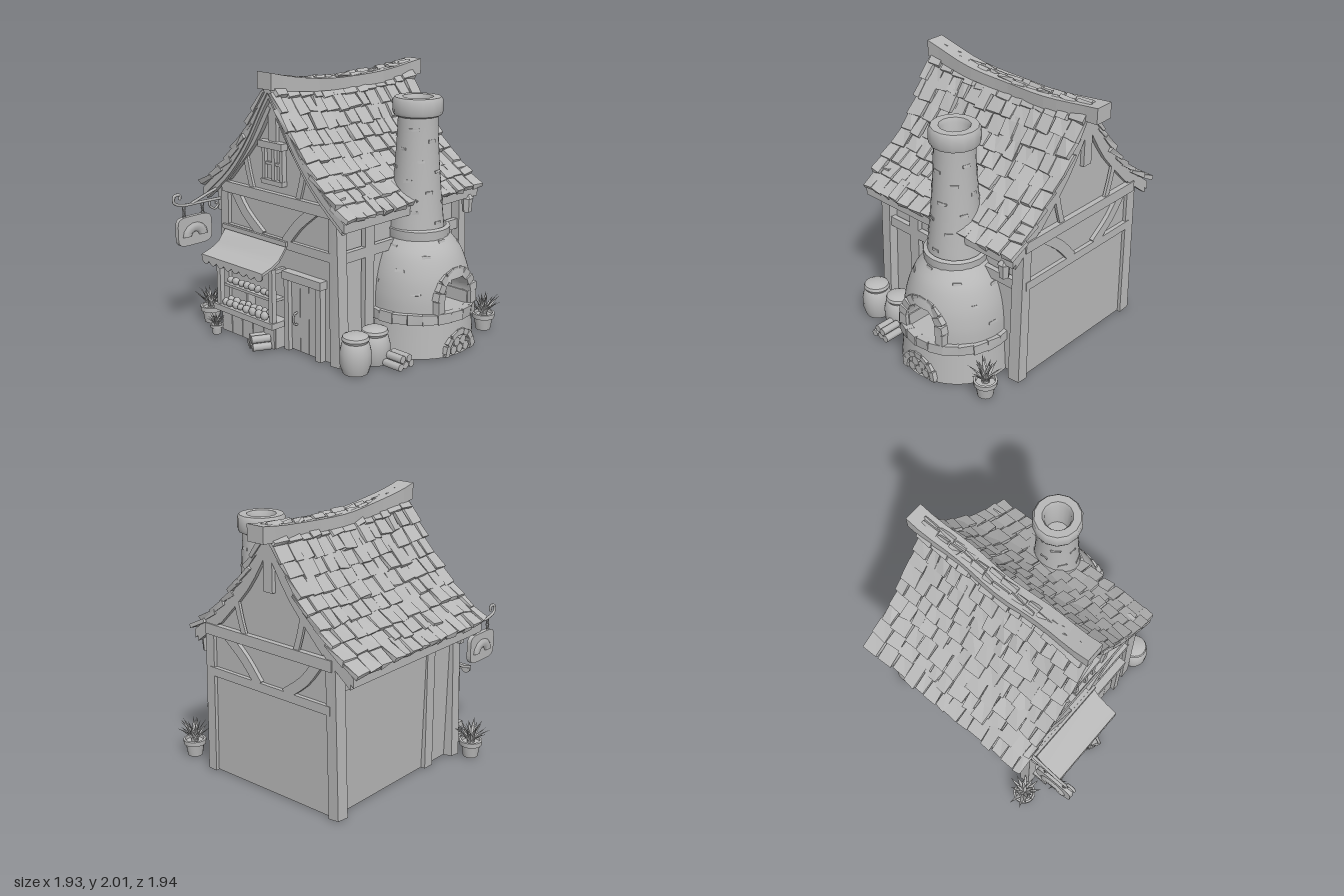
import * as THREE from 'three';
import { mergeGeometries, toCreasedNormals } from 'three/addons/utils/BufferGeometryUtils.js';

const RIDGE_X = -0.115;
const V2 = (x, y) => new THREE.Vector2(x, y);
const V3 = (x, y, z) => new THREE.Vector3(x, y, z);

export function createModel() {
  const model = new THREE.Group();
  const clay = new THREE.MeshStandardMaterial({ color: 0xb8b8b8, side: THREE.DoubleSide });
  clay.name = 'plain grey';
  let seed = 7;
  const rnd = (a, b) => {
    seed = (seed * 16807) % 2147483647;
    return a + (b - a) * (seed / 2147483647);
  };

  // Helpers
  const add = (name, geo, x = 0, y = 0, z = 0, parent = model) => {
    const m = new THREE.Mesh(geo, clay);
    m.name = name;
    m.position.set(x, y, z);
    parent.add(m);
    return m;
  };
  const box = (name, x0, x1, y0, y1, z0, z1, parent = model) =>
    add(name, new THREE.BoxGeometry(x1 - x0, y1 - y0, z1 - z0), (x0 + x1) / 2, (y0 + y1) / 2, (z0 + z1) / 2, parent);
  const move = (geo, rule) => {
    const p = geo.attributes.position, v = V3();
    for (let i = 0; i < p.count; i++) {
      rule(v.fromBufferAttribute(p, i));
      p.setXYZ(i, v.x, v.y, v.z);
    }
    geo.computeVertexNormals();
    return geo;
  };
  const merged = (list) => {
    const g = mergeGeometries(list.map((q) => (q.index ? q.toNonIndexed() : q)));
    g.computeVertexNormals();
    return g;
  };
  const chunk = (w, h, d, j) => { // rough block: each corner nudged the same for all its faces
    const n = Array.from({ length: 8 }, () => [rnd(-j, j), rnd(-j, j), rnd(-j, j)]);
    return move(new THREE.BoxGeometry(w, h, d), (v) => {
      const k = n[(v.x > 0 ? 1 : 0) + (v.y > 0 ? 2 : 0) + (v.z > 0 ? 4 : 0)];
      v.x += k[0]; v.y += k[1]; v.z += k[2];
    });
  };
  const lathe = (pts, seg = 32) =>
    toCreasedNormals(new THREE.LatheGeometry(pts.map((p) => V2(p[0], p[1])), seg), 0.7);
  const extrude = (pts, depth, steps = 1) =>
    new THREE.ExtrudeGeometry(new THREE.Shape(pts), { depth, steps, bevelEnabled: false });
  const plank = (name, pts, w, z, depth = 0.03) => { // bent timber in the xy plane
    const c = new THREE.SplineCurve(pts.map((p) => V2(p[0], p[1])));
    const a = [], b = [];
    for (let i = 0; i <= 6; i++) {
      const p = c.getPoint(i / 6), t = c.getTangent(i / 6);
      a.push(V2(p.x - t.y * w / 2, p.y + t.x * w / 2));
      b.unshift(V2(p.x + t.y * w / 2, p.y - t.x * w / 2));
    }
    return add(name, extrude([...a, ...b], depth), 0, 0, z);
  };
  const tube = (name, pts, r, seg = 24) =>
    add(name, new THREE.TubeGeometry(new THREE.CatmullRomCurve3(pts.map((p) => V3(...p))), seg, r, 6));

  // Roof profile (distance from ridge, height) and the sag of the roof along z
  const profile = new THREE.SplineCurve([V2(0, 1.97), V2(0.08, 1.85), V2(0.25, 1.58), V2(0.46, 1.335), V2(0.745, 1.1)]);
  const sagAt = (z) => 0.06 * Math.max(0, 1 - ((z + 0.2) / 0.8) ** 2);
  const sag = (v) => { v.y -= sagAt(v.z) * THREE.MathUtils.clamp((v.y - 1.08) / 0.8, 0, 1); };
  const gableLine = (off, tMax) => {
    const pts = [];
    for (let i = -12; i <= 12; i++) {
      const p = profile.getPointAt(Math.abs(i) / 12 * tMax);
      pts.push(V2(RIDGE_X + Math.sign(i) * p.x, p.y - off));
    }
    return pts;
  };

  // Walls with gables
  const wall = extrude([V2(-0.65, 0), ...gableLine(0.085, 0.8), V2(0.48, 0)], 1.34, 8);
  wall.translate(0, 0, -0.83);
  add('walls', move(wall, sag));

  // Roof deck, ridge beam and shingles
  const deck = extrude([...gableLine(0.045, 0.99), ...gableLine(0.11, 0.99).reverse()], 1.44, 10);
  deck.translate(0, 0, -0.86);
  add('roofDeck', move(deck, sag));
  const ridge = new THREE.BoxGeometry(0.145, 0.12, 1.57, 1, 1, 14).toNonIndexed();
  ridge.translate(RIDGE_X, 1.94, -0.185);
  add('ridgeBeam', move(ridge, (v) => {
    v.y -= sagAt(v.z) * (v.y > 1.94 ? 1.7 : 1.1) + 0.04 * Math.max(0, -(v.z + 0.2) / 0.8) ** 2;
    v.x += 0.008 * Math.sin(v.z * 9);
  }));
  const tiles = [], ROWS = 9;
  for (const s of [-1, 1]) {
    for (let r = 0; r < ROWS; r++) {
      const t = (r + 0.55) / ROWS, p = profile.getPointAt(t), g = profile.getTangentAt(t);
      for (let z = -0.89 + rnd(0, 0.02); z < 0.55;) {
        const w = Math.min(rnd(0.08, 0.14), 0.6 - z);
        const tile = chunk(rnd(0.155, 0.19), 0.032, w - 0.008, 0.009);
        tile.rotateZ(Math.atan2(g.y, s * g.x) + s * rnd(0.09, 0.2));
        const off = rnd(-0.024, -0.008);
        const at = V3(RIDGE_X + s * (p.x - g.y * off), p.y + g.x * off, z + w / 2);
        sag(at);
        tiles.push(tile.translate(at.x, at.y, at.z));
        z += w;
      }
    }
  }
  add('roofShingles', merged(tiles));

  // Timber frame on front and back
  for (const z of [0.51, -0.86]) {
    box('upperBeam', -0.67, 0.5, 1.06, 1.14, z - 0.01, z + 0.04);
    box('middleBeam', -0.65, 0.48, 0.75, 0.815, z, z + 0.03);
    plank('leftBrace', [[-0.25, 0.8], [-0.42, 0.93], [-0.54, 1.08]], 0.075, z);
    plank('rightBrace', [[0.0, 0.8], [0.13, 0.95], [0.29, 1.08]], 0.075, z);
    box('gablePost', -0.155, -0.075, 1.48, 1.82, z, z + 0.03);
    for (const s of [-1, 1]) {
      const X = (d) => RIDGE_X + s * d;
      plank('bargeBoard', [[X(0.04), 1.76], [X(0.22), 1.48], [X(0.5), 1.18]], 0.07, z, 0.035);
      plank('gableBrace', [[X(0.24), 1.13], [X(0.28), 1.26], [X(0.31), 1.39]], 0.045, z, 0.02);
      add('cornerPost', chunk(0.085, 1.2, 0.09, 0.006), s > 0 ? 0.487 : -0.665, 0.6, z > 0 ? 0.492 : -0.812)
        .rotation.z = s * 0.025;
    }
  }
  for (const z of [0.53, -0.86]) { // rafters under the verge
    const rafter = extrude([...gableLine(0.09, 0.96), ...gableLine(0.15, 0.96).reverse()], 0.04);
    rafter.translate(0, 0, z);
    add('vergeRafter', move(rafter, sag));
  }

  // Timber frame on the sides
  for (const [x0, x1, y] of [[0.47, 0.51, 0.735], [-0.685, -0.64, 0.9]]) {
    box('sideMiddleBeam', x0, x1, y, y + 0.075, -0.8, 0.48);
    box('sideTopBeam', x0, x1, 1.04, 1.12, -0.8, 0.48);
    box('sidePost', x0, x1, 0, 1.08, 0.16, 0.25);
  }

  // Gable window
  box('windowPane', -0.19, -0.02, 1.22, 1.46, 0.5, 0.525);
  box('windowLintel', -0.235, 0.01, 1.46, 1.51, 0.5, 0.57);
  box('windowSill', -0.22, 0, 1.2, 1.235, 0.5, 0.56);
  for (const x of [-0.215, -0.115, -0.035]) box('windowBar', x, x + 0.03, 1.22, 1.46, 0.5, 0.55);
  box('windowCrossBar', -0.19, -0.02, 1.34, 1.36, 0.5, 0.545);

  // Door
  for (let i = 0; i < 3; i++) box('doorBoard', 0.055 + i * 0.089, 0.141 + i * 0.089, 0.01, 0.54, 0.5, 0.53);
  box('doorJamb', 0.005, 0.05, 0, 0.56, 0.5, 0.56);
  box('doorJamb', 0.325, 0.375, 0, 0.56, 0.5, 0.56);
  box('doorLintel', 0.0, 0.39, 0.54, 0.6, 0.5, 0.575);
  tube('doorHandle', [[0.11, 0.3, 0.53], [0.11, 0.29, 0.56], [0.11, 0.22, 0.56], [0.11, 0.21, 0.53]], 0.008, 10);

  // Market stall
  box('stallBase', -0.62, -0.03, 0, 0.165, 0.5, 0.61);
  for (let i = 0; i < 5; i++) box('stallBoard', -0.615 + i * 0.117, -0.505 + i * 0.117, 0, 0.165, 0.6, 0.622);
  box('stallCounter', -0.665, -0.01, 0.165, 0.21, 0.5, 0.665);
  for (const x of [-0.635, -0.06]) {
    box('stallPost', x, x + 0.04, 0.2, 0.61, 0.61, 0.65);
    box('stallSideRail', x, x + 0.03, 0.57, 0.6, 0.51, 0.65);
  }
  box('stallShelf', -0.6, -0.05, 0.35, 0.37, 0.5, 0.61);
  box('stallDivider', -0.39, -0.365, 0.2, 0.35, 0.5, 0.58);
  const loaves = [];
  for (const [y, z] of [[0.235, 0.63], [0.24, 0.575], [0.395, 0.575]]) {
    for (let x = -0.56; x < -0.08; x += rnd(0.05, 0.075)) {
      const g = new THREE.SphereGeometry(0.03, 8, 6);
      g.scale(rnd(0.8, 1.2), rnd(0.8, 1.2), rnd(0.8, 1)).rotateZ(rnd(-0.6, 0.6));
      loaves.push(g.translate(x, y, z));
    }
  }
  add('loaves', mergeGeometries(loaves));
  const cloth = [[0.51, 0.8], [0.54, 0.785], [0.615, 0.69], [0.69, 0.65], [0.775, 0.625]].map((p) => V2(...p));
  const clothUnder = cloth.map((p) => V2(p.x - 0.004, p.y - 0.02)).reverse();
  const awning = extrude([...cloth, ...clothUnder], 0.665);
  awning.rotateY(-Math.PI / 2);
  add('awning', toCreasedNormals(awning, 0.8), 0.02);
  const wave = [V2(0.02, 0.625), V2(-0.645, 0.625)];
  for (let i = 0; i <= 48; i++) wave.push(V2(-0.645 + 0.665 * i / 48, 0.585 - 0.028 * Math.abs(Math.sin(i / 48 * Math.PI * 8))));
  add('awningValance', extrude(wave, 0.012), 0, 0, 0.766);
  box('awningRail', -0.66, 0.03, 0.775, 0.81, 0.5, 0.56);

  // Oven: base, dome with an arched mouth, and chimney
  const oven = new THREE.Group();
  oven.name = 'oven';
  oven.position.set(0.55, 0, -0.275);
  model.add(oven);
  const cutMouth = (g, half, top) => { // leave out faces inside the mouth
    const p = g.attributes.position, keep = [];
    for (let i = 0; i < p.count; i += 3) {
      const c = V3();
      for (let k = 0; k < 3; k++) c.add(V3().fromBufferAttribute(p, i + k).divideScalar(3));
      const arch = top - half + Math.sqrt(Math.max(0, half * half - c.z * c.z));
      if (c.x < 0.2 || c.y > arch || Math.abs(c.z) > half) keep.push(i, i + 1, i + 2);
    }
    g.setIndex(keep);
    return g;
  };
  const domeLine = new THREE.SplineCurve([V2(0.385, 0.32), V2(0.38, 0.44), V2(0.355, 0.58), V2(0.3, 0.72), V2(0.215, 0.83)]);
  const rise = (n, f) => Array.from({ length: n + 1 }, (_, i) => f(i / n));
  const dome = rise(20, (t) => { const p = domeLine.getPoint(t); return [p.x, p.y]; });
  add('ovenDome', cutMouth(lathe(dome, 72), 0.155, 0.56), 0, 0, 0, oven);
  const base = rise(10, (t) => [0.41 - 0.02 * t, 0.26 * t]);
  add('ovenBase', cutMouth(lathe(base, 72), 0.12, 0.135), 0, 0, 0, oven);
  add('ovenFloor', lathe([[0, 0], [0.41, 0]]), 0, 0.002, 0, oven);
  add('ovenHearth', lathe([[0.38, 0.255], [0.405, 0.255], [0.405, 0.325], [0, 0.325]]), 0, 0, 0, oven);
  const mouth = (name, r, floor, spring, x, n, stone) => {
    const vault = new THREE.CylinderGeometry(r, r, 0.2, 20, 1, true, 0, Math.PI);
    add(name + 'Vault', vault.rotateZ(Math.PI / 2), x - 0.1, spring, 0, oven);
    box(name + 'Back', x - 0.2, x - 0.19, floor, spring + r, -r, r, oven);
    for (const s of [-1, 1]) {
      const h = spring - floor;
      box(name + 'Side', x - 0.2, x, floor, spring, s * r - 0.01, s * r + 0.01, oven);
      add(name + 'Footing', chunk(0.09, h, stone, 0.003), x - 0.02, floor + h / 2 + 0.003, s * (r + stone / 2), oven);
    }
    for (let i = 0; i < n; i++) {
      const a = (i + 0.5) / n * Math.PI, R = r + stone / 2;
      const g = chunk(0.09, stone, Math.PI * R / n * 0.97, 0.004);
      g.rotateX(Math.PI / 2 - a);
      add(name + 'Stone', g, x - 0.015 - 0.1 * floor * Math.sin(a), spring + Math.sin(a) * R, Math.cos(a) * R, oven);
    }
  };
  mouth('ovenMouth', 0.145, 0.325, 0.415, 0.345, 9, 0.07);
  mouth('woodStore', 0.115, 0, 0.02, 0.378, 7, 0.045);
  for (let i = 0; i < 24; i++) { // rim stones
    const a = (i + 0.5) / 24 * Math.PI * 2;
    const g = chunk(0.06, 0.075, 0.107, 0.005);
    g.rotateY(-a);
    add('rimStone', g, Math.cos(a) * 0.386, 0.292, Math.sin(a) * 0.386, oven);
  }
  for (let i = 0; i < 5; i++) {
    const log = new THREE.CylinderGeometry(0.034, 0.034, 0.2, 8).rotateZ(Math.PI / 2);
    add('storedLog', log, 0.3, i < 3 ? 0.036 : 0.092, i < 3 ? (i - 1) * 0.068 : (i - 3.5) * 0.068, oven);
  }
  add('chimneyCollar', lathe([[0.2, 0.81], [0.226, 0.815], [0.229, 0.88], [0.2, 0.89]], 20), 0, 0, 0.01, oven);
  const shaftR = (y) => 0.142 + 0.063 * ((1.7 - y) / 0.84) ** 1.5;
  const shaft = lathe(rise(10, (t) => [shaftR(0.86 + 0.84 * t), 0.86 + 0.84 * t]), 24);
  const chimney = add('chimneyShaft', shaft, -0.012, 0, 0.022, oven);
  add('chimneyCap', lathe([[0.14, 1.67], [0.172, 1.685], [0.18, 1.71], [0.178, 1.79], [0.165, 1.81], [0.11, 1.81],
    [0.095, 1.78], [0.085, 1.55], [0, 1.55]], 14), -0.016, 0, 0.022, oven);
  const bricks = [];
  const brick = (r, y, a, tilt) => {
    const g = chunk(0.016, 0.02, rnd(0.045, 0.075), 0.003);
    g.rotateZ(tilt).rotateY(-a);
    bricks.push(g.translate(Math.cos(a) * r, y, Math.sin(a) * r));
  };
  for (let i = 0; i < 26; i++) {
    const y = 0.93 + 0.72 * i / 26;
    brick(shaftR(y) - 0.005, y, i * 2.4, 0.06);
  }
  add('raisedBricks', merged(bricks), 0, 0, 0, chimney);
  bricks.length = 0;
  for (let i = 0; i < 22; i++) {
    const p = domeLine.getPoint(0.2 + 0.75 * i / 22), a = i * 2.4;
    if (Math.cos(a) < 0.8 || p.y > 0.68) brick(p.x - 0.005, p.y, a, 0.3);
  }
  add('raisedDomeBricks', merged(bricks), 0, 0, 0, oven);

  // Flour sacks and logs
  const sack = [[0, 0], [0.09, 0], [0.11, 0.06], [0.112, 0.14], [0.098, 0.195], [0.088, 0.21], [0.098, 0.228],
    [0.09, 0.248], [0.06, 0.262], [0, 0.265]];
  add('sack', lathe(sack, 20), 0.65, 0, 0.495).scale.y = 1.07;
  add('sack', lathe(sack, 20), 0.625, 0, 0.275);
  const logPile = (x, z, turn) => {
    const pile = new THREE.Group();
    pile.name = 'logPile';
    for (let i = 0; i < 5; i++) {
      const log = new THREE.CylinderGeometry(0.028, 0.028, rnd(0.13, 0.16), 7).rotateZ(Math.PI / 2);
      add('log', log, 0, i < 3 ? 0.029 : 0.078, i < 3 ? (i - 1) * 0.056 : (i - 3.5) * 0.056, pile);
    }
    pile.position.set(x, 0, z);
    pile.rotation.y = turn;
    model.add(pile);
  };
  logPile(0.8, 0.22, 0);
  logPile(-0.14, 0.67, 1.1);

  // Potted plants
  const plant = (x, z, s) => {
    const g = new THREE.Group();
    g.name = 'pottedPlant';
    add('pot', lathe([[0, 0], [0.056, 0], [0.07, 0.09], [0.084, 0.092], [0.086, 0.128], [0.07, 0.13], [0.066, 0.11], [0, 0.11]], 16), 0, 0, 0, g);
    for (let i = 0; i < 20; i++) {
      const h = rnd(0.15, 0.19), lean = i < 9 ? rnd(0.1, 0.35) : rnd(0.45, 0.75);
      const leaf = new THREE.ConeGeometry(0.028, h, 4, 3);
      leaf.translate(0, h / 2, 0).scale(1, 1, 0.35);
      move(leaf, (v) => { v.z += v.y * v.y * 1.2; });
      leaf.rotateX(lean).rotateY(i * 2.4);
      add('leaf', leaf, 0, 0.11, 0, g);
    }
    g.scale.setScalar(s);
    g.position.set(x, 0, z);
    model.add(g);
  };
  plant(-0.81, 0.57, 1);
  plant(0.785, -0.77, 1);
  plant(-0.58, 0.71, 0.58);

  // Hanging sign on a scrolled bracket
  const SX = -0.718;
  tube('signBar', [[SX, 0.99, 0.5], [SX, 0.995, 0.7], [SX, 1.0, 0.88], [SX, 1.03, 0.955], [SX, 1.08, 0.95], [SX, 1.08, 0.9], [SX, 1.045, 0.905]], 0.011, 40);
  tube('signStay', [[SX, 1.09, 0.5], [SX, 1.05, 0.64], [SX, 1.0, 0.8]], 0.011);
  tube('signScroll', [[SX, 0.99, 0.63], [SX, 0.95, 0.63], [SX, 0.92, 0.58], [SX, 0.95, 0.55], [SX, 0.965, 0.58]], 0.009);
  box('signWallPlate', SX - 0.02, SX + 0.03, 0.9, 1.1, 0.49, 0.53);
  for (const z of [0.7, 0.87]) for (let i = 0; i < 3; i++) {
    const link = new THREE.TorusGeometry(0.016, 0.005, 6, 10).scale(0.75, 1.2, 1);
    add('chainLink', link, SX, 0.975 - i * 0.03, z).rotation.y = i % 2 ? 0 : Math.PI / 2;
  }
  const board = [];
  for (let i = 0; i < 32; i++) { // rounded rectangle
    const a = (i + 0.5) / 32 * Math.PI * 2, q = (v) => Math.sign(v) * Math.abs(v) ** 0.4;
    board.push(V2(0.155 * q(Math.cos(a)), 0.11 * q(Math.sin(a))));
  }
  add('signBoard', extrude(board, 0.034).rotateY(-Math.PI / 2), SX + 0.017, 0.8, 0.785);
  for (const s of [-1, 1]) {
    const roll = new THREE.TorusGeometry(0.07, 0.04, 6, 7, Math.PI).scale(1.05, 0.9, 0.5).rotateY(Math.PI / 2);
    add('signPastry', roll, SX + s * 0.016, 0.76, 0.785);
  }

  // Lantern under the rear eave
  add('lantern', lathe([[0, 0.885], [0.035, 0.885], [0.042, 0.99], [0.05, 0.99], [0.012, 1.035], [0, 1.04]], 6), 0.6, 0, -0.765);
  tube('lanternHook', [[0.5, 1.08, -0.765], [0.56, 1.085, -0.765], [0.6, 1.07, -0.765], [0.6, 1.03, -0.765]], 0.008, 10);

  return model;
}
